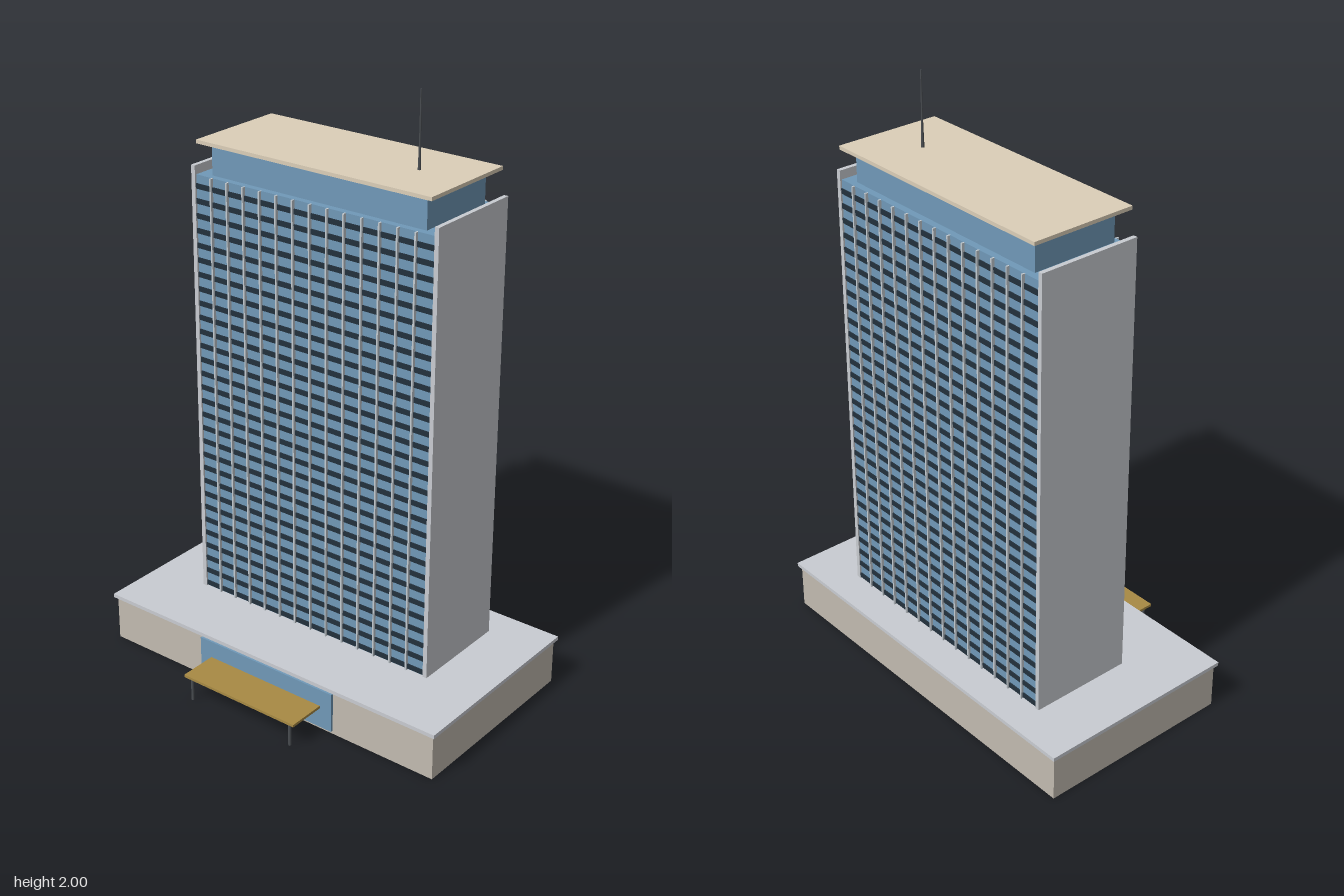
import * as THREE from 'three';

const mat = (color) => new THREE.MeshStandardMaterial({ color });
const M = {
  glass: mat(0x7099b8), band: mat(0x22303c), mullion: mat(0xc4ccd2), wall: mat(0xc9ccd1),
  podium: mat(0xc2bbb0), slab: mat(0xc9ccd2), roof: mat(0xdccfb8), canopy: mat(0xa88a44), metal: mat(0x4a4e52),
};

export function createModel() {
  const root = new THREE.Group();

  // Box given by its extents on each axis
  const box = (name, material, [x0, x1], [y0, y1], [z0, z1], parent = root) => {
    const mesh = new THREE.Mesh(new THREE.BoxGeometry(x1 - x0, y1 - y0, z1 - z0), material);
    mesh.position.set((x0 + x1) / 2, (y0 + y1) / 2, (z0 + z1) / 2);
    mesh.name = name;
    parent.add(mesh);
  };
  const rod = (name, rTop, rBottom, x, y0, y1, z) => {
    const mesh = new THREE.Mesh(new THREE.CylinderGeometry(rTop, rBottom, y1 - y0, 12), M.metal);
    mesh.position.set(x, (y0 + y1) / 2, z);
    mesh.name = name;
    root.add(mesh);
  };

  // Podium and its overhanging roof slab
  box('podium', M.podium, [-0.655, 0.655], [0, 0.157], [-0.41, 0.275]);
  box('podiumSlab', M.slab, [-0.665, 0.665], [0.157, 0.17], [-0.42, 0.285]);

  // Entrance glazing with a canopy on two posts
  box('entranceGlass', M.glass, [-0.272, 0.272], [0.012, 0.15], [0.27, 0.284]);
  box('canopy', M.canopy, [-0.227, 0.227], [0.082, 0.091], [0.275, 0.417]);
  for (const s of [-1, 1]) rod('canopyPost', 0.005, 0.005, s * 0.203, 0, 0.083, 0.405);

  // Glazed tower between two solid end walls
  const base = 0.17, top = 1.642, halfW = 0.453, floors = 30, bays = 14;
  const back = -0.302, front = 0.04;
  box('towerGlass', M.glass, [-halfW, halfW], [base, top], [back, front]);
  for (const s of [-1, 1]) {
    const x = s * 0.4605;
    box('endWall', M.wall, [x - 0.0075, x + 0.0075], [base, 1.672], [-0.308, 0.047]);
  }

  // Dark floor bands on both long faces
  const bands = new THREE.Group();
  bands.name = 'floorBands';
  const floorH = (top - base) / floors;
  for (let i = 0; i < floors; i++) {
    const y = base + (i + 0.25) * floorH;
    box('floorBand', M.band, [-halfW, halfW], [y - 0.0085, y + 0.0085], [back - 0.004, front + 0.004], bands);
  }

  // Slim vertical mullions on both long faces
  const mullions = new THREE.Group();
  mullions.name = 'mullions';
  for (let i = 1; i < bays; i++) {
    const x = -halfW + (i * 2 * halfW) / bays;
    for (const [z0, z1] of [[front - 0.002, 0.051], [-0.312, back + 0.002]])
      box('mullion', M.mullion, [x - 0.0028, x + 0.0028], [base, top], [z0, z1], mullions);
  }
  root.add(bands, mullions);

  // Recessed crown, flat roof and antenna
  box('crown', M.glass, [-0.406, 0.406], [top, 1.746], [-0.279, 0.018]);
  box('roof', M.roof, [-0.442, 0.442], [1.746, 1.758], [-0.313, 0.05]);
  rod('antennaBase', 0.003, 0.005, 0.27, 1.758, 1.84, -0.131);
  rod('antennaMast', 0.0022, 0.003, 0.27, 1.84, 2, -0.131);

  return root;
}
